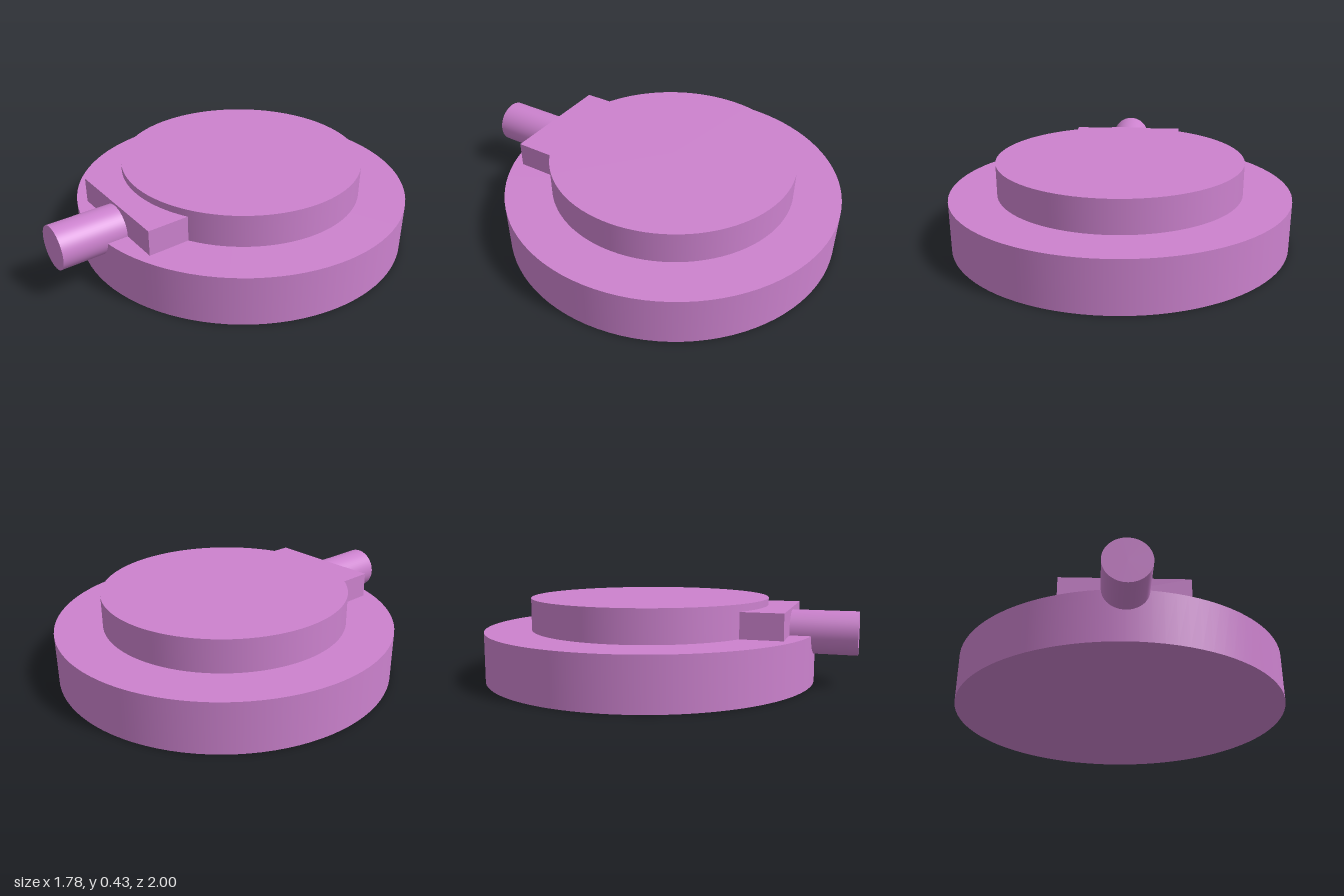
import * as THREE from 'three';

const material = new THREE.MeshStandardMaterial({ color: 0xcc82ce });
const AXIS_Z = -0.11; // shared centre of the round parts

function addPart(group, name, geometry, x, y, z) {
  const mesh = new THREE.Mesh(geometry, material);
  mesh.name = name;
  mesh.position.set(x, y, z);
  group.add(mesh);
  return mesh;
}

// Upright disc standing between two heights
function addDisc(group, name, radius, bottom, top) {
  const geometry = new THREE.CylinderGeometry(radius, radius, top - bottom, 96);
  return addPart(group, name, geometry, 0, (bottom + top) / 2, AXIS_Z);
}

export function createModel() {
  const model = new THREE.Group();
  model.name = 'roundHousing';

  // Wide base with a smaller raised disc
  addDisc(model, 'base', 0.89, 0, 0.262);
  addDisc(model, 'raisedDisc', 0.643, 0.262, 0.432);

  // Connector block, its back running into the raised disc
  addPart(model, 'connectorBlock', new THREE.BoxGeometry(0.632, 0.133, 0.215), 0, 0.3285, 0.5575);

  // Round stem pointing forward from the block
  const stem = addPart(model, 'stem', new THREE.CylinderGeometry(0.112, 0.112, 0.335, 64), 0, 0.27, 0.8325);
  stem.rotation.x = Math.PI / 2;

  return model;
}
